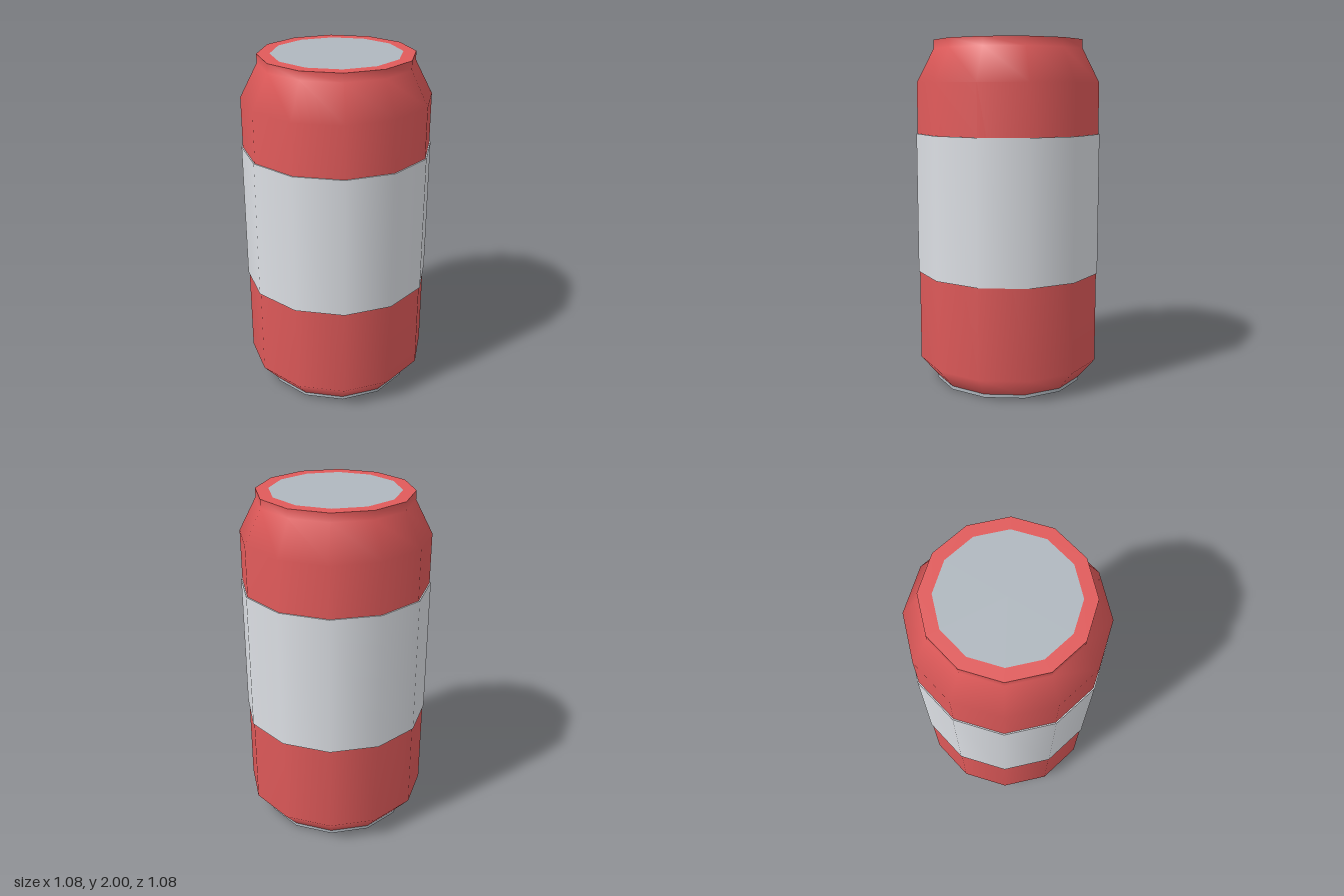
import * as THREE from 'three';

const SIDES = 12;

function material(name, color) {
  const m = new THREE.MeshStandardMaterial({ color });
  m.name = name;
  return m;
}

export function createModel() {
  const can = new THREE.Group();
  can.name = 'drinkCan';

  const red = material('red paint', 0xe05a5a);
  const silver = material('silver label', 0xdcdfe4);
  const metal = material('grey metal', 0xafb7be);

  const add = (name, geometry, mat) => {
    const mesh = new THREE.Mesh(geometry, mat);
    mesh.name = name;
    can.add(mesh);
    return mesh;
  };

  // Revolve a profile of [radius, height] points, listed bottom to top
  const turned = (name, profile, mat) =>
    add(name, new THREE.LatheGeometry(profile.map(([r, y]) => new THREE.Vector2(r, y)), SIDES), mat);

  // Body wall with chamfered foot, sloping shoulder and short neck
  turned('body', [[0.437, 0.02], [0.535, 0.135], [0.535, 1.76], [0.437, 1.95], [0.437, 2]], red);

  // Label band standing slightly proud of the wall, with its thin edges
  turned('labelBand', [[0.542, 0.66], [0.542, 1.47]], silver);
  turned('labelLowerEdge', [[0.53, 0.66], [0.542, 0.66]], silver);
  turned('labelUpperEdge', [[0.542, 1.47], [0.53, 1.47]], silver);

  // Metal foot rim and painted underside
  turned('footRim', [[0.437, 0], [0.437, 0.02]], metal);
  const underside = add('underside', new THREE.CircleGeometry(0.437, SIDES), red);
  underside.rotation.x = Math.PI / 2;

  // Painted top rim around the metal lid
  const rim = add('topRim', new THREE.RingGeometry(0.365, 0.437, SIDES), red);
  rim.rotation.x = -Math.PI / 2;
  rim.position.y = 2;
  const lid = add('lid', new THREE.CircleGeometry(0.365, SIDES), metal);
  lid.rotation.x = -Math.PI / 2;
  lid.position.y = 2;

  return can;
}
